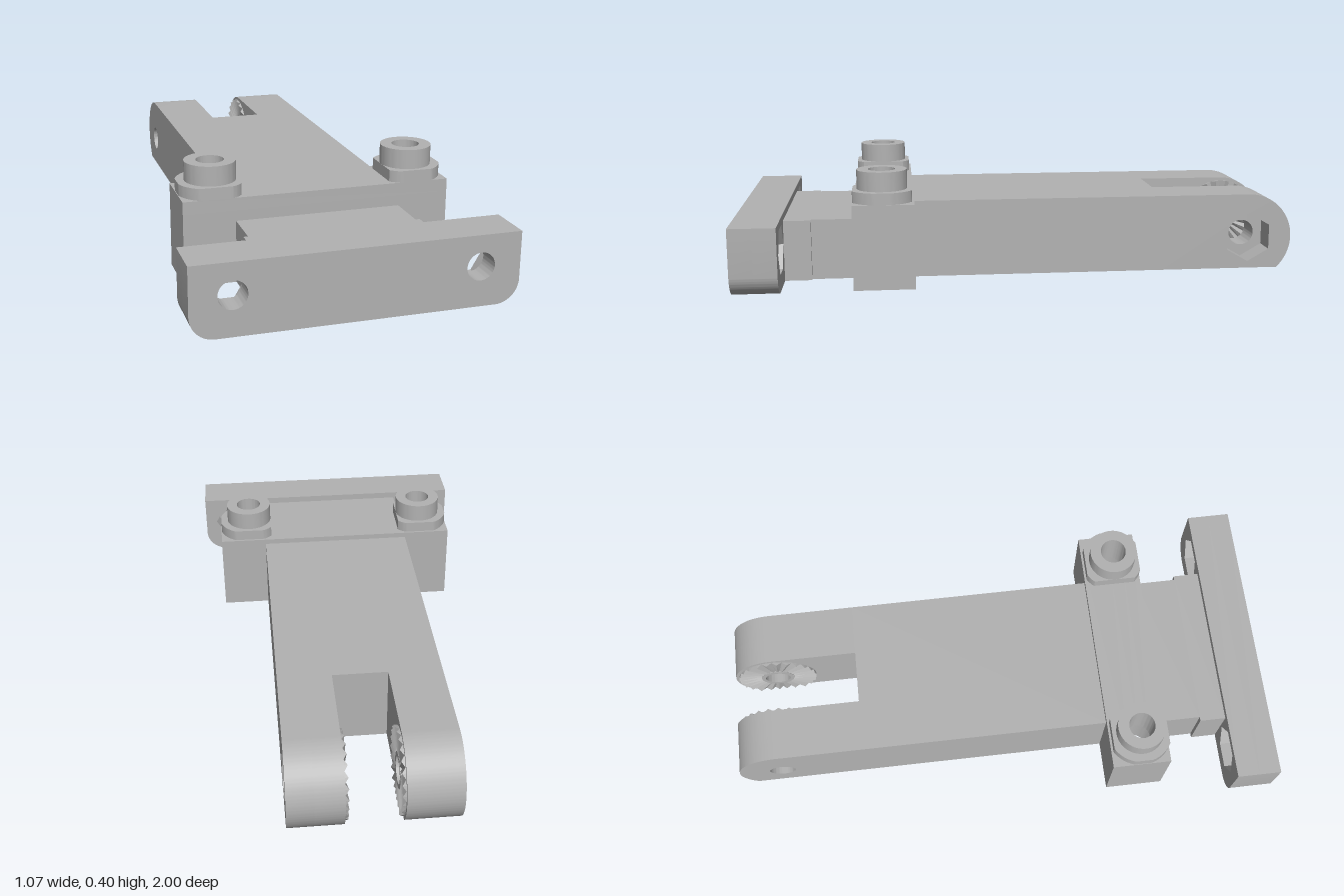
import * as THREE from 'three';
import { toCreasedNormals } from 'three/addons/utils/BufferGeometryUtils.js';

const plastic = new THREE.MeshStandardMaterial({ color: 0xb2b2b2, side: THREE.DoubleSide });
plastic.name = 'grey plastic';

const BORE = 0.047, HEX = 0.09;
const PIVOT_Y = 0.115, PIVOT_Z = -0.84, END_R = 0.16, SLOT = 0.097;

export function createModel() {
  const model = new THREE.Group();
  model.name = 'clampArm';

  const add = (name, geometry) => {
    const mesh = new THREE.Mesh(geometry, plastic);
    mesh.name = name;
    model.add(mesh);
    return mesh;
  };
  const box = (name, x0, x1, y0, y1, z0, z1) => {
    const g = new THREE.BoxGeometry(x1 - x0, y1 - y0, z1 - z0);
    add(name, g.translate((x0 + x1) / 2, (y0 + y1) / 2, (z0 + z1) / 2));
  };
  const circle = (x, y, r) => new THREE.Path().absarc(x, y, r, 0, Math.PI * 2, true);
  const hexagon = (x, y, r, turn) => new THREE.Path(
    Array.from({ length: 6 }, (_, i) => {
      const a = turn - i * Math.PI / 3;
      return new THREE.Vector2(x + r * Math.cos(a), y + r * Math.sin(a));
    })
  ).closePath();
  const extrude = (shape, holes, depth) => {
    shape.holes = holes;
    return toCreasedNormals(
      new THREE.ExtrudeGeometry(shape, { depth, bevelEnabled: false, curveSegments: 32 }), 0.6);
  };
  // Extrusions along x (shape in -z, y) and along y (shape in x, -z)
  const alongX = (shape, holes, x0, x1) =>
    extrude(shape, holes, x1 - x0).rotateY(Math.PI / 2).translate(x0, 0, 0);
  const alongY = (shape, holes, y0, y1) =>
    extrude(shape, holes, y1 - y0).rotateX(-Math.PI / 2).translate(0, y0, 0);

  // Front plate: rounded lower corners, bolt holes, nut pockets at the back
  const plateShape = () => {
    const s = new THREE.Shape();
    const w = 0.535, r = 0.08;
    s.moveTo(-w, 0.24);
    s.lineTo(-w, r);
    s.absarc(-w + r, r, r, Math.PI, Math.PI * 1.5, false);
    s.lineTo(w - r, 0);
    s.absarc(w - r, r, r, Math.PI * 1.5, Math.PI * 2, false);
    s.lineTo(w, 0.24);
    s.closePath();
    return s;
  };
  const sides = [-1, 1];
  add('frontPlate', extrude(plateShape(), sides.map(s => circle(s * 0.4, 0.135, BORE)), 0.08)
    .translate(0, 0, 0.92));
  add('frontPlateNutPockets', extrude(plateShape(), sides.map(s => hexagon(s * 0.4, 0.135, HEX, 0)), 0.08)
    .translate(0, 0, 0.84));

  // Neck between plate and crossbar
  box('neck', -0.285, 0.285, 0, 0.215, 0.595, 0.745);
  box('neckCollar', -0.3, 0.3, 0, 0.215, 0.745, 0.84);

  // Crossbar with counterbored ears
  const barShape = () => new THREE.Shape([
    new THREE.Vector2(-0.462, -0.595), new THREE.Vector2(0.462, -0.595),
    new THREE.Vector2(0.462, -0.383), new THREE.Vector2(-0.462, -0.383),
  ]);
  const EAR_X = 0.347, EAR_Z = 0.493;
  const earHoles = r => sides.map(s => circle(s * EAR_X, -EAR_Z, r));
  add('crossbarLower', alongY(barShape(), earHoles(0.087), 0, 0.25));
  add('crossbarUpper', alongY(barShape(), earHoles(BORE), 0.25, 0.295));

  // Bosses on the ears: a trimmed round flange below a hollow cylinder
  for (const s of sides) {
    const flange = new THREE.Shape(Array.from({ length: 96 }, (_, i) => {
      const a = i / 96 * Math.PI * 2;
      const x = THREE.MathUtils.clamp(0.117 * Math.cos(a), -0.087, 0.113);
      const y = THREE.MathUtils.clamp(0.117 * Math.sin(a), -0.102, 0.102);
      return new THREE.Vector2(s * (EAR_X + x), -EAR_Z + y);
    }));
    const hole = () => [circle(s * EAR_X, -EAR_Z, BORE)];
    add('bossFlange', alongY(flange, hole(), 0.295, 0.335));
    const round = new THREE.Shape().absarc(s * EAR_X, -EAR_Z, 0.087, 0, Math.PI * 2, false);
    add('bossCylinder', alongY(round, hole(), 0.335, 0.402));
  }

  // Arm and its two rounded fork prongs
  box('arm', -0.285, 0.285, 0, 0.275, -0.52, 0.383);
  const prongShape = () => {
    const s = new THREE.Shape();
    const low = Math.asin(-PIVOT_Y / END_R);
    s.moveTo(0.52, 0);
    s.lineTo(-PIVOT_Z + END_R * Math.cos(low), 0);
    s.absarc(-PIVOT_Z, PIVOT_Y, END_R, low, Math.PI / 2, false);
    s.lineTo(0.52, PIVOT_Y + END_R);
    s.closePath();
    return s;
  };
  const pivotHole = () => [circle(-PIVOT_Z, PIVOT_Y, BORE)];
  add('rightProng', alongX(prongShape(), pivotHole(), -0.285, -SLOT));
  add('leftProng', alongX(prongShape(), pivotHole(), SLOT, 0.195));
  add('leftProngNutPocket', alongX(prongShape(),
    [hexagon(-PIVOT_Z, PIVOT_Y, HEX, Math.PI / 2)], 0.195, 0.285));

  // Radial locking teeth on the inner prong faces, cut flush with the underside
  const toothRing = side => {
    const steps = 48, pos = [];
    const point = (i, r, h) => {
      const a = i / steps * Math.PI * 2;
      const reach = Math.sin(a) < 0 ? Math.min(r, PIVOT_Y / -Math.sin(a)) : r;
      return [side * (SLOT - h), PIVOT_Y + reach * Math.sin(a), PIVOT_Z + reach * Math.cos(a)];
    };
    const quad = (a, b, c, d) => {
      const corners = side > 0 ? [a, b, c, a, c, d] : [a, c, b, a, d, c];
      pos.push(...corners.flat());
    };
    const R0 = 0.06, R1 = 0.148;
    for (let i = 0; i < steps; i++) {
      const j = i + 1;
      const top = k => (k % 2 ? 0.013 : 0.001);
      const mid = k => (k % 2 ? 0.008 : 0.001);
      quad(point(i, R0, mid(i)), point(j, R0, mid(j)), point(j, R1, top(j)), point(i, R1, top(i)));
      quad(point(i, R1, top(i)), point(j, R1, top(j)), point(j, R1, 0), point(i, R1, 0));
    }
    const g = new THREE.BufferGeometry();
    g.setAttribute('position', new THREE.Float32BufferAttribute(pos, 3));
    g.computeVertexNormals();
    return g;
  };
  for (const s of sides) {
    add('lockingTeeth', toothRing(s));
    const hub = new THREE.Shape().absarc(-PIVOT_Z, PIVOT_Y, 0.062, 0, Math.PI * 2, false);
    const inner = s * SLOT, outer = s * (SLOT - 0.008);
    add('pivotHub', alongX(hub, pivotHole(), Math.min(inner, outer), Math.max(inner, outer)));
  }

  return model;
}
